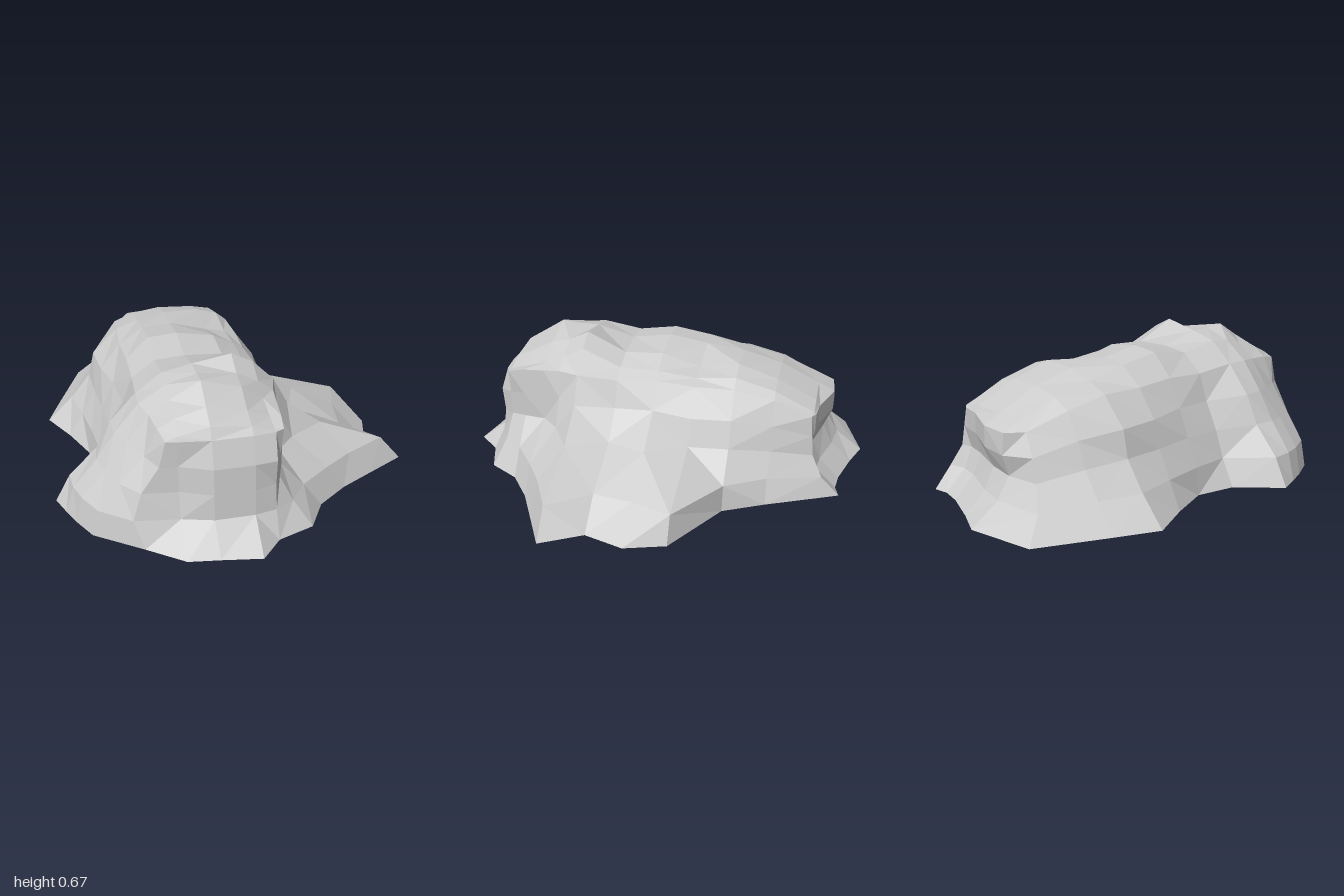
import * as THREE from 'three';

// Cross-sections run from back to front
const zs = [-0.76, -0.57, -0.38, -0.19, 0, 0.19, 0.38, 0.48, 0.57, 0.68, 0.76];
const shoulder = [0.39, 0.46, 0.5, 0.5, 0.51, 0.5, 0.52, 0.52, 0.51, 0.5, 0.48];
// Flank x at five levels from ground to shoulder, one row per section
const rightSide = [
  [-0.64, -0.57, -0.49, -0.45, -0.39],
  [-0.77, -0.65, -0.56, -0.51, -0.44],
  [-0.84, -0.71, -0.61, -0.58, -0.45],
  [-0.74, -0.67, -0.6, -0.56, -0.46],
  [-0.66, -0.64, -0.58, -0.52, -0.45],
  [-0.69, -0.62, -0.57, -0.5, -0.45],
  [-0.85, -0.78, -0.65, -0.58, -0.46],
  [-0.81, -0.77, -0.66, -0.57, -0.46],
  [-0.77, -0.74, -0.63, -0.53, -0.43],
  [-0.71, -0.68, -0.58, -0.47, -0.41],
  [-0.5, -0.54, -0.5, -0.42, -0.39],
];
const leftSide = [
  [0.15, 0.16, 0.13, 0.12, 0.11],
  [0.31, 0.26, 0.2, 0.17, 0.12],
  [0.41, 0.39, 0.26, 0.21, 0.13],
  [0.74, 0.68, 0.28, 0.23, 0.14],
  [0.8, 0.62, 0.39, 0.2, 0.13],
  [0.74, 0.59, 0.32, 0.2, 0.15],
  [0.85, 0.74, 0.42, 0.25, 0.18],
  [0.66, 0.54, 0.25, 0.18, 0.15],
  [0.49, 0.4, 0.16, 0.15, 0.14],
  [0.34, 0.25, 0.14, 0.14, 0.13],
  [0.25, 0.17, 0.11, 0.11, 0.12],
];
// Crest heights above four fixed x positions
const crestX = [-0.34, -0.2, -0.02, 0.08];
const crest = [
  [0.42, 0.43, 0.42, 0.4],
  [0.5, 0.52, 0.51, 0.49],
  [0.54, 0.57, 0.57, 0.54],
  [0.58, 0.59, 0.54, 0.52],
  [0.61, 0.62, 0.59, 0.54],
  [0.58, 0.59, 0.58, 0.54],
  [0.61, 0.64, 0.67, 0.62],
  [0.6, 0.64, 0.62, 0.57],
  [0.57, 0.65, 0.6, 0.53],
  [0.54, 0.58, 0.54, 0.5],
  [0.5, 0.53, 0.51, 0.48],
];
// End faces: z at the crest columns, one row per level from the ground up
const frontZ = [
  [0.95, 0.97, 1, 0.89],
  [0.81, 0.85, 0.85, 0.83],
  [0.78, 0.84, 0.84, 0.81],
  [0.77, 0.83, 0.83, 0.82],
  [0.77, 0.79, 0.79, 0.78],
];
const backZ = [
  [-1, -0.95, -0.9, -0.89],
  [-0.87, -0.85, -0.8, -0.79],
  [-0.81, -0.8, -0.76, -0.75],
  [-0.84, -0.84, -0.78, -0.77],
  [-0.83, -0.84, -0.78, -0.77],
];
// Corners of the end faces: z at each level
const frontCorner = [0.83, 0.78, 0.76, 0.76, 0.76];
const backCorner = [-0.91, -0.82, -0.77, -0.76, -0.75];

// Triangles for a grid of points, split along the shorter diagonal
function addGrid(out, grid, flip) {
  const gap = (a, b) => Math.hypot(a[0] - b[0], a[1] - b[1], a[2] - b[2]);
  const tri = (a, b, c) => {
    if (a === b || b === c || a === c) return;
    for (const p of flip ? [a, c, b] : [a, b, c]) out.push(...p);
  };
  for (let i = 0; i < grid.length - 1; i++) {
    for (let j = 0; j < grid[i].length - 1; j++) {
      const a = grid[i][j], b = grid[i + 1][j], c = grid[i + 1][j + 1], d = grid[i][j + 1];
      if (gap(a, c) < gap(b, d)) { tri(a, b, c); tri(a, c, d); }
      else { tri(a, b, d); tri(b, c, d); }
    }
  }
}

export function createModel() {
  const group = new THREE.Group();
  group.name = 'rock';
  const material = new THREE.MeshStandardMaterial({ color: 0xcccccc, flatShading: true });
  const last = zs.length - 1;

  // Sections: up one flank, over the crest, down the other
  const sections = zs.map((z, i) => {
    const corner = { 0: backCorner, [last]: frontCorner }[i];
    const flank = (xs) => xs.map((x, l) => [x, shoulder[i] * l / 4, corner ? corner[l] : z]);
    const top = crest[i].map((y, k) => [crestX[k], y, z]);
    return [...flank(rightSide[i]), ...top, ...flank(leftSide[i]).reverse()];
  });

  // End faces share the edge points of the outermost sections
  const endFace = (i, depth) => {
    const s = sections[i];
    const rows = depth.map((row, l) => [
      s[l], ...row.map((z, k) => [crestX[k], shoulder[i] * l / 4, z]), s[13 - l],
    ]);
    rows.push(s.slice(4, 10));
    return rows;
  };
  const front = endFace(last, frontZ);
  const back = endFace(0, backZ);

  const positions = [];
  addGrid(positions, sections, false);
  addGrid(positions, front, true);
  addGrid(positions, back, false);
  const geometry = new THREE.BufferGeometry();
  geometry.setAttribute('position', new THREE.Float32BufferAttribute(positions, 3));
  geometry.computeVertexNormals();
  const body = new THREE.Mesh(geometry, material);
  body.name = 'rockBody';
  group.add(body);

  // Flat underside bounded by the foot of the rock
  const outline = [
    ...sections.map((s) => s[0]),
    ...front[0].slice(1, 5),
    ...sections.map((s) => s[13]).reverse(),
    ...back[0].slice(1, 5).reverse(),
  ].map(([x, , z]) => new THREE.Vector2(x, z));
  const base = new THREE.Mesh(
    new THREE.ShapeGeometry(new THREE.Shape(outline)).rotateX(Math.PI / 2), material);
  base.name = 'underside';
  group.add(base);
  return group;
}
